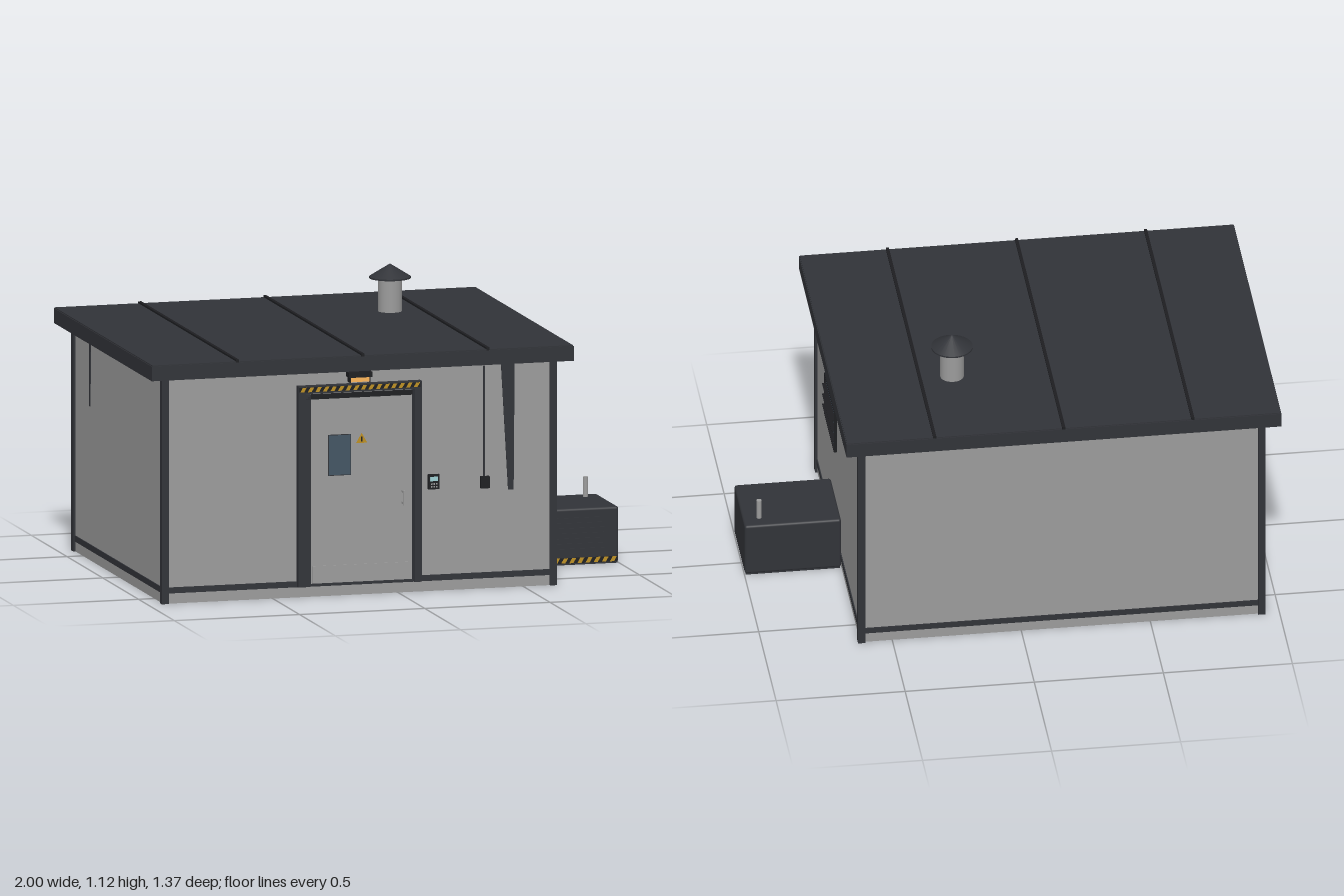
import * as THREE from 'three';
import { RoundedBoxGeometry } from 'three/addons/geometries/RoundedBoxGeometry.js';

const paint = (color) => new THREE.MeshStandardMaterial({ color });
const grey = paint(0x9b9b9b);
const dark = paint(0x313338);
const black = paint(0x1d1e21);
const yellow = paint(0xbd8f22);
const glass = paint(0x435563);
const amber = paint(0xffb65a);
const screen = paint(0x9fd0d4);

export function createModel() {
  const root = new THREE.Group();

  const add = (name, geometry, material, parent = root) => {
    const mesh = new THREE.Mesh(geometry, material);
    mesh.name = name;
    parent.add(mesh);
    return mesh;
  };
  // Box given by its limits on each axis
  const box = (name, mat, [x0, x1], [y0, y1], [z0, z1], parent = root) => {
    const mesh = add(name, new THREE.BoxGeometry(x1 - x0, y1 - y0, z1 - z0), mat, parent);
    mesh.position.set((x0 + x1) / 2, (y0 + y1) / 2, (z0 + z1) / 2);
    return mesh;
  };
  const cylinder = (name, mat, rTop, rBottom, y0, y1, x, z, parent = root) => {
    const mesh = add(name, new THREE.CylinderGeometry(rTop, rBottom, y1 - y0, 24), mat, parent);
    mesh.position.set(x, (y0 + y1) / 2, z);
    return mesh;
  };
  // Thin flat plate cut from a list of corners, facing +z
  const plate = (name, mat, points, depth, z, parent = root) => {
    const shape = new THREE.Shape(points.map(([x, y]) => new THREE.Vector2(x, y)));
    const mesh = add(name, new THREE.ExtrudeGeometry(shape, { depth, bevelEnabled: false }), mat, parent);
    mesh.position.z = z;
    return mesh;
  };
  const group = (name) => {
    const g = new THREE.Group();
    g.name = name;
    root.add(g);
    return g;
  };
  // Dark band with slanted yellow stripes
  const hazardBand = (x0, x1, y0, y1, z, count) => {
    const g = group('hazardBand');
    box('bandBacking', black, [x0, x1], [y0, y1], [z - 0.004, z], g);
    const step = (x1 - x0) / count, w = step * 0.5, s = step * 0.35;
    for (let i = 0; i < count; i++) {
      const x = x0 + i * step + 0.002;
      plate('stripe', yellow, [[x, y0], [x + w, y0], [x + w + s, y1], [x + s, y1]], 0.001, z, g);
    }
  };

  // Walls, plinth band and corner posts
  box('walls', grey, [-0.937, 0.624], [0, 0.89], [-0.626, 0.626]);
  box('plinthBand', dark, [-0.941, 0.628], [0.04, 0.063], [-0.63, 0.63]);
  for (const x of [-0.931, 0.619])
    for (const z of [-0.62, 0.62])
      box('cornerPost', dark, [x - 0.014, x + 0.014], [0, 0.885], [z - 0.015, z + 0.015]);

  // Roof slab, top sheet and seams
  box('roof', dark, [-1, 0.685], [0.88, 0.937], [-0.685, 0.685]);
  box('roofSheet', dark, [-0.997, 0.682], [0.937, 0.941], [-0.682, 0.682]);
  for (const x of [-0.657, -0.157, 0.343])
    box('roofSeam', black, [x - 0.006, x + 0.006], [0.937, 0.948], [-0.684, 0.684]);

  // Chimney with conical cap
  const chimney = group('chimney');
  cylinder('chimneyPipe', grey, 0.046, 0.046, 0.94, 1.08, 0.218, -0.25, chimney);
  cylinder('chimneyCapRim', dark, 0.08, 0.08, 1.07, 1.076, 0.218, -0.25, chimney);
  cylinder('chimneyCap', dark, 0.002, 0.08, 1.076, 1.125, 0.218, -0.25, chimney);

  // Door with its frame
  const door = group('door');
  for (const [a, b] of [[-0.405, -0.375], [0.058, 0.088]])
    box('frameOuterPost', dark, [a, b], [0.042, 0.825], [0.62, 0.651], door);
  for (const [a, b] of [[-0.375, -0.352], [0.053, 0.064]])
    box('frameInnerPost', dark, [a, b], [0.042, 0.79], [0.62, 0.643], door);
  box('frameLintel', dark, [-0.405, 0.088], [0.795, 0.825], [0.62, 0.651], door);
  box('frameInnerTop', black, [-0.375, 0.064], [0.771, 0.789], [0.62, 0.643], door);
  box('doorLeaf', grey, [-0.352, 0.053], [0.05, 0.772], [0.62, 0.635], door);
  box('threshold', dark, [-0.375, 0.064], [0.042, 0.052], [0.62, 0.643], door);
  box('kickPlate', grey, [-0.345, 0.046], [0.055, 0.12], [0.63, 0.638], door);
  box('doorWindowFrame', dark, [-0.282, -0.19], [0.469, 0.629], [0.63, 0.637], door);
  box('doorWindow', glass, [-0.279, -0.193], [0.472, 0.626], [0.63, 0.639], door);
  plate('warningSign', yellow, [[-0.17, 0.592], [-0.126, 0.592], [-0.148, 0.63]], 0.003, 0.635, door);
  box('warningMark', black, [-0.151, -0.145], [0.598, 0.616], [0.637, 0.639], door);
  box('handleGrip', grey, [0.011, 0.019], [0.345, 0.403], [0.655, 0.664], door);
  for (const y of [0.352, 0.396])
    box('handleMount', grey, [0.012, 0.018], [y - 0.004, y + 0.004], [0.63, 0.658], door);
  hazardBand(-0.4, 0.083, 0.802, 0.82, 0.653, 16);

  // Lamp above the door, its lens shielded by end cheeks
  box('lampHousing', black, [-0.207, -0.113], [0.852, 0.872], [0.62, 0.667]);
  box('lampLens', amber, [-0.197, -0.123], [0.833, 0.852], [0.632, 0.655]);
  for (const x of [-0.199, -0.121])
    box('lampCheek', black, [x - 0.002, x + 0.002], [0.831, 0.853], [0.62, 0.657]);

  // Keypad
  box('keypad', black, [0.117, 0.162], [0.398, 0.455], [0.62, 0.642]);
  box('keypadScreen', screen, [0.124, 0.155], [0.43, 0.447], [0.64, 0.644]);
  for (let i = 0; i < 6; i++) {
    const x = 0.13 + (i % 3) * 0.01, y = 0.408 + Math.floor(i / 3) * 0.011;
    box('keypadButton', grey, [x - 0.003, x + 0.003], [y - 0.003, y + 0.003], [0.64, 0.644]);
  }

  // Cable running down to a switch box
  cylinder('cable', dark, 0.004, 0.004, 0.43, 0.868, 0.343, 0.629);
  box('switchBox', black, [0.327, 0.362], [0.392, 0.438], [0.62, 0.643]);

  // Tapered streaks below the eaves
  plate('frontStreak', dark, [[0.439, 0.38], [0.461, 0.38], [0.465, 0.885], [0.41, 0.885]], 0.003, 0.626);
  const streak = plate('sideStreak', dark, [[-0.006, 0.6], [0.004, 0.6], [0.012, 0.885], [-0.008, 0.885]], 0.003, 0);
  streak.rotation.y = -Math.PI / 2;
  streak.position.set(-0.937, 0, -0.395);

  // Louvred window in the left wall
  const louvre = group('louvreWindow');
  box('louvreGlass', glass, [0.61, 0.628], [0.441, 0.624], [0.052, 0.328], louvre);
  for (const y of [0.442, 0.623])
    box('louvreRail', black, [0.61, 0.635], [y - 0.003, y + 0.003], [0.05, 0.331], louvre);
  for (const z of [0.052, 0.329])
    box('louvreStile', black, [0.61, 0.635], [0.439, 0.626], [z - 0.002, z + 0.002], louvre);
  for (const y of [0.487, 0.533, 0.58]) {
    const slat = box('louvreSlat', black, [0.624, 0.644], [y - 0.002, y + 0.002], [0.054, 0.327], louvre);
    slat.rotation.z = -0.15;
  }

  // Generator beside the left wall
  const generator = group('generator');
  const shell = add('generatorShell', new RoundedBoxGeometry(0.374, 0.216, 0.306, 3, 0.01), dark, generator);
  shell.position.set(0.812, 0.112, 0.063);
  box('generatorBase', dark, [0.63, 0.995], [0, 0.02], [-0.087, 0.212], generator);
  for (let i = 0; i < 7; i++) {
    const y = 0.06 + i * 0.02;
    box('ventSlat', dark, [0.66, 0.94], [y - 0.004, y + 0.004], [0.21, 0.221], generator);
  }
  cylinder('exhaustPipe', grey, 0.01, 0.01, 0.2, 0.298, 0.936, -0.031, generator);
  hazardBand(0.636, 0.993, 0.008, 0.028, 0.219, 11);

  return root;
}
